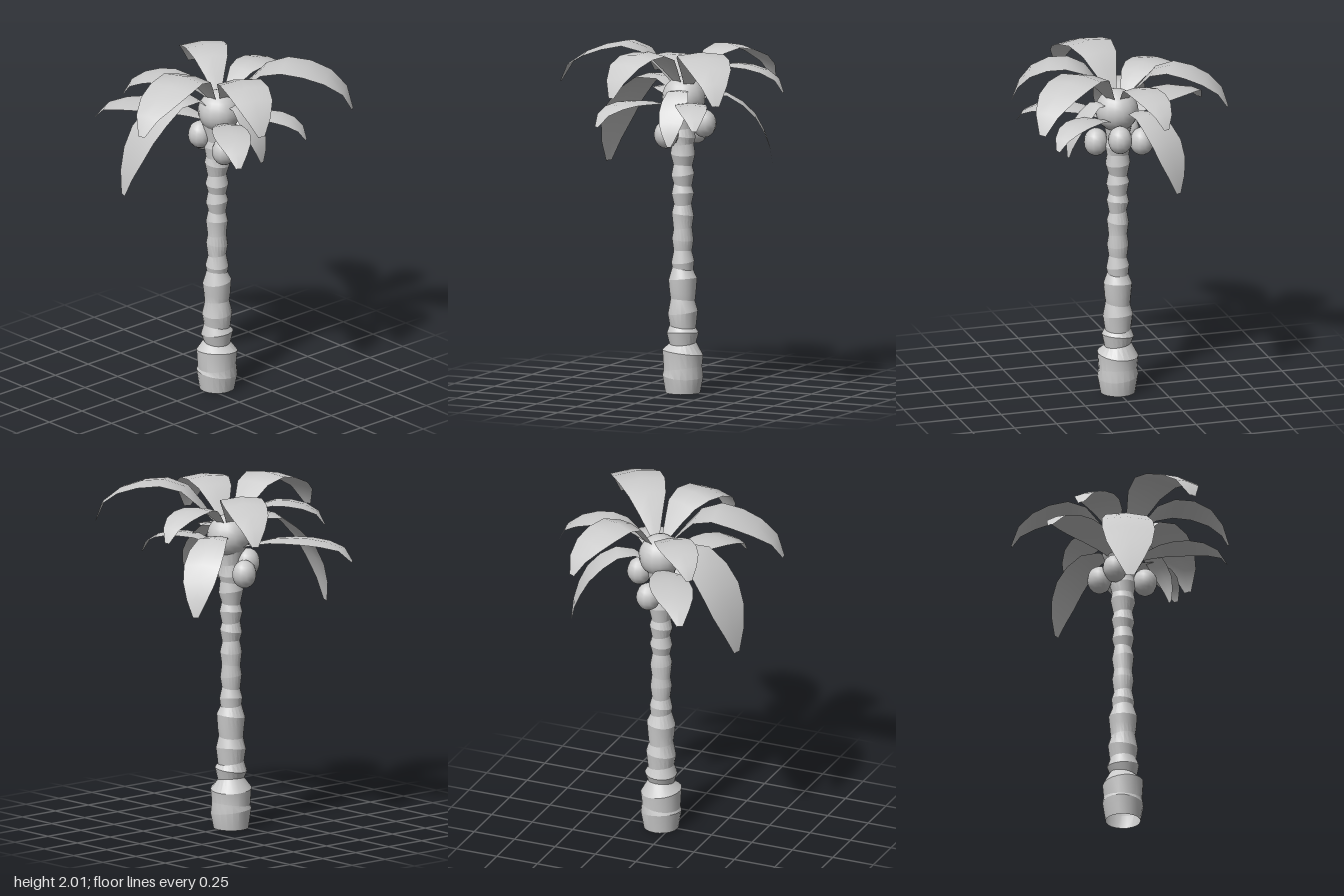
import * as THREE from 'three';
import { toCreasedNormals } from 'three/addons/utils/BufferGeometryUtils.js';

const grey = new THREE.MeshStandardMaterial({ color: 0xcccccc });
const thinGrey = new THREE.MeshStandardMaterial({ color: 0xcccccc, side: THREE.DoubleSide });
const CROWN = new THREE.Vector3(0, 1.69, -0.08);

// Ringed trunk, open below: a lathe whose rings are tilted slightly, each its own way
function makeTrunk() {
  const rings = [ // [radius, height]
    [0.1, 0], [0.117, 0.1], [0.11, 0.14], [0.117, 0.23], [0.076, 0.285], [0.092, 0.34], [0.075, 0.38],
    [0.086, 0.46], [0.07, 0.53], [0.076, 0.58], [0.082, 0.65], [0.06, 0.71], [0.066, 0.75],
    [0.052, 0.81], [0.062, 0.88], [0.053, 0.94], [0.063, 1.02], [0.05, 1.08], [0.064, 1.14],
    [0.052, 1.19], [0.066, 1.25], [0.054, 1.3], [0.071, 1.37], [0.063, 1.42], [0.073, 1.47],
    [0.064, 1.52], [0.085, 1.63],
  ];
  const geo = new THREE.LatheGeometry(rings.map(([r, y]) => new THREE.Vector2(r, y)), 20);
  const pos = geo.attributes.position;
  for (let i = 0; i < pos.count; i++) {
    const k = i % rings.length;
    const tilt = k ? 0.13 : 0;
    const a = k * 2.4;
    const x = pos.getX(i), z = pos.getZ(i), y = pos.getY(i);
    pos.setY(i, y + tilt * (x * Math.cos(a) + z * Math.sin(a)));
    pos.setX(i, x - 0.004);
    pos.setZ(i, z - 0.06);
  }
  const mesh = new THREE.Mesh(toCreasedNormals(geo, 0.33), thinGrey);
  mesh.name = 'trunk';
  return mesh;
}

// Leaf blade: arched strip along a curve from the crown to the tip
const WIDTHS = [0.2, 0.48, 0.78, 0.97, 1, 0.87, 0.55, 0.15];
function makeLeaf(tipX, tipZ, heights, halfWidth) {
  const reach = new THREE.Vector3(tipX - CROWN.x, 0, tipZ - CROWN.z);
  const side = new THREE.Vector3(reach.z, 0, -reach.x).normalize();
  const curve = new THREE.CatmullRomCurve3([0.1, 0.38, 0.75, 0.95, 1].map((f, i) =>
    new THREE.Vector3(CROWN.x + reach.x * f, heights[i], CROWN.z + reach.z * f)));
  const verts = [], index = [];
  const rows = WIDTHS.length, cols = 3;
  for (let r = 0; r < rows; r++) {
    const p = curve.getPointAt(r / (rows - 1));
    for (let c = 0; c < cols; c++) {
      const w = halfWidth * WIDTHS[r] * (c - 1);
      verts.push(p.x + side.x * w, p.y - Math.abs(w) * 0.12, p.z + side.z * w);
      if (r && c) {
        const d = r * cols + c, b = d - cols;
        index.push(b - 1, b, d - 1, b, d, d - 1);
      }
    }
  }
  const geo = new THREE.BufferGeometry();
  geo.setAttribute('position', new THREE.Float32BufferAttribute(verts, 3));
  geo.setIndex(index);
  geo.computeVertexNormals();
  return new THREE.Mesh(geo, thinGrey);
}

function makeBall(name, r, x, y, z, segs) {
  const mesh = new THREE.Mesh(new THREE.SphereGeometry(r, segs, segs - 2), grey);
  mesh.position.set(x, y, z);
  mesh.name = name;
  return mesh;
}

export function createModel() {
  const model = new THREE.Group();
  model.name = 'palmTree';
  model.add(makeTrunk());
  model.add(makeBall('crown', 0.123, 0.005, 1.69, -0.07, 16));

  // Coconuts hanging below the crown
  const coconuts = new THREE.Group();
  coconuts.name = 'coconuts';
  [[0.11, 1.49, -0.01], [0.03, 1.555, -0.21], [-0.14, 1.49, -0.08], [-0.08, 1.54, 0]]
    .forEach(([x, y, z]) => {
      const nut = makeBall('coconut', 0.07, x, y, z, 12);
      nut.scale.y = 1.15;
      coconuts.add(nut);
    });
  model.add(coconuts);

  // Leaves: tip x, tip z, heights from crown to tip, half width
  const leaves = new THREE.Group();
  leaves.name = 'leaves';
  [
    // high leaves
    [0.6, -0.55, [1.78, 1.99, 1.97, 1.86, 1.75], 0.14],
    [0.13, 0.64, [1.78, 2.0, 1.95, 1.85, 1.76], 0.14],
    [0.57, 0.12, [1.78, 1.97, 1.96, 1.84, 1.75], 0.13],
    [-0.56, -0.37, [1.78, 1.97, 1.93, 1.83, 1.75], 0.125],
    [-0.11, -0.64, [1.77, 1.89, 1.88, 1.81, 1.74], 0.1],
    [-0.41, 0.29, [1.76, 1.89, 1.89, 1.83, 1.77], 0.11],
    // low leaves
    [-0.61, 0.32, [1.63, 1.69, 1.69, 1.64, 1.58], 0.12],
    [0.51, 0.24, [1.63, 1.69, 1.69, 1.63, 1.57], 0.105],
    [0.44, -0.34, [1.63, 1.69, 1.69, 1.63, 1.57], 0.09],
    // drooping leaves
    [-0.19, 0.49, [1.72, 1.82, 1.67, 1.43, 1.27], 0.15],
    [-0.22, -0.52, [1.66, 1.73, 1.63, 1.45, 1.31], 0.11],
    [0.31, -0.12, [1.7, 1.76, 1.66, 1.55, 1.45], 0.08],
  ].forEach((spec, i) => {
    const leaf = makeLeaf(...spec);
    leaf.name = 'leaf' + (i + 1);
    leaves.add(leaf);
  });
  model.add(leaves);
  return model;
}
